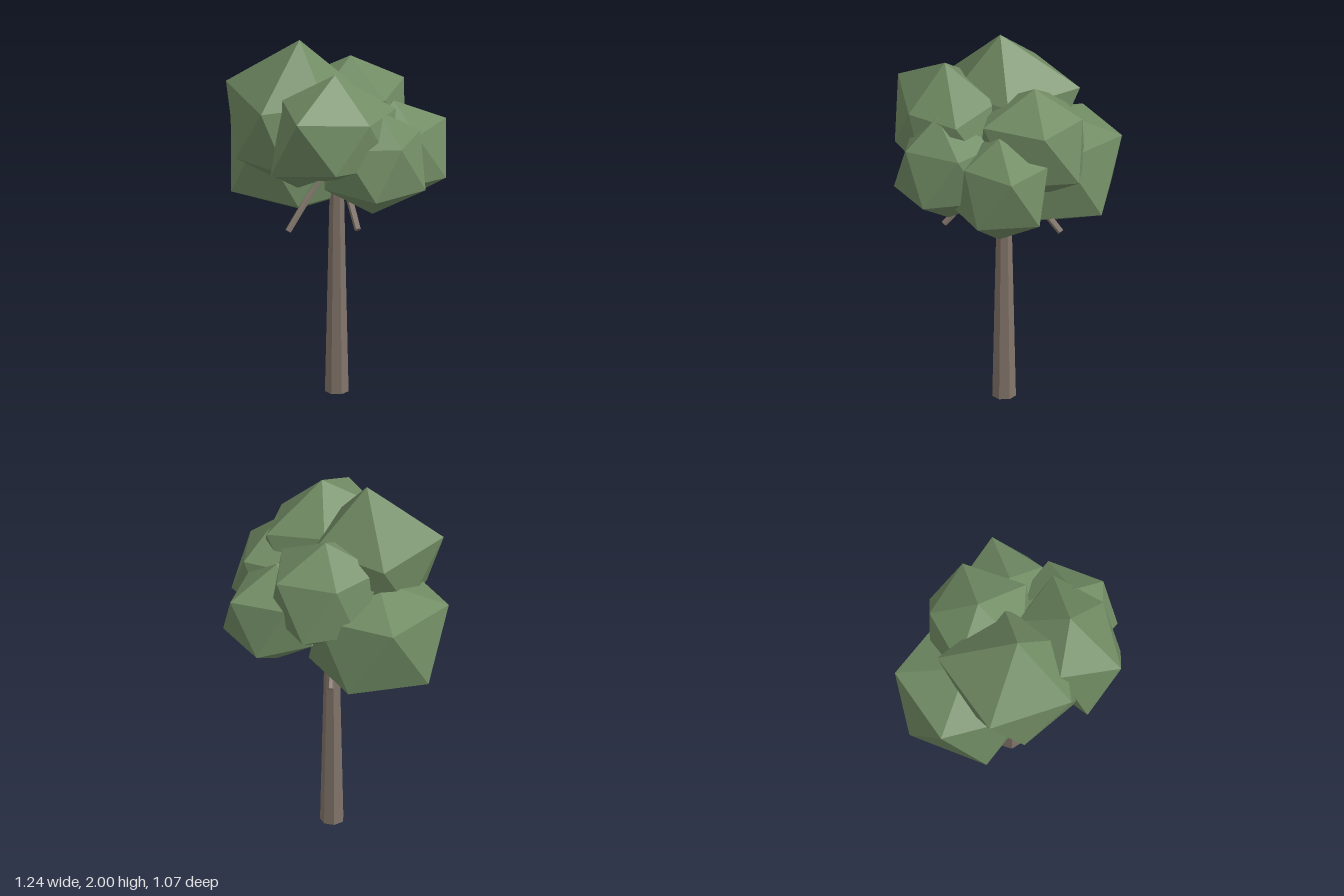
import * as THREE from 'three';
import { ConvexGeometry } from 'three/addons/geometries/ConvexGeometry.js';

const leafMat = new THREE.MeshStandardMaterial({ color: 0x718c64, flatShading: true });
const barkMat = new THREE.MeshStandardMaterial({ color: 0x82756a, flatShading: true });
const TOP = 10, BOTTOM = 11;

// Leaf clump: a stretched icosahedron standing on one corner. Corners 0-9 run round
// the sides, alternating upper and lower ring; shifts nudge single corners out of line.
function clump([x, y, z], [rx, ry, rz], top, bottom, shifts) {
  const points = [];
  for (let i = 0; i < 10; i++) {
    const a = THREE.MathUtils.degToRad(18 + i * 36);
    points.push(new THREE.Vector3(
      x + 0.894 * rx * Math.sin(a),
      y + 0.447 * ry * (i % 2 ? -1 : 1),
      z + 0.894 * rz * Math.cos(a)
    ));
  }
  points.push(new THREE.Vector3(x, top, z), new THREE.Vector3(x, bottom, z));
  for (const [i, shift] of Object.entries(shifts)) points[i].add(new THREE.Vector3(...shift));
  return new THREE.Mesh(new ConvexGeometry(points), leafMat);
}

// Tapered limb between two points
function limb(from, to, r0, r1, sides) {
  const a = new THREE.Vector3(...from), b = new THREE.Vector3(...to);
  const dir = b.clone().sub(a);
  const geometry = new THREE.CylinderGeometry(r1, r0, dir.length(), sides).rotateY(Math.PI);
  const mesh = new THREE.Mesh(geometry, barkMat);
  mesh.position.copy(a).add(b).multiplyScalar(0.5);
  mesh.quaternion.setFromUnitVectors(new THREE.Vector3(0, 1, 0), dir.normalize());
  return mesh;
}

export function createModel() {
  const model = new THREE.Group();
  const add = (name, mesh) => { mesh.name = name; model.add(mesh); };

  // Trunk
  add('trunk', limb([0.037, 0, -0.003], [0.037, 1.4, -0.003], 0.064, 0.033, 7));

  // Drooping branches
  const ends = [[0.345, 1.025, 0.09], [0.04, 0.975, 0.32], [-0.17, 1.005, -0.25]];
  ends.forEach((end, i) => add('branch' + (i + 1), limb([0.037, 1.36, 0], end, 0.02, 0.017, 6)));

  // Crown: centre, radii, top, bottom, corner shifts
  const crown = {
    frontClump: [[-0.05, 1.535, 0.21], [0.42, 0.39, 0.37], 2.0, 1.17, {
      0: [0.01, -0.02, 0], 1: [-0.07, 0, 0.03], 2: [-0.1, 0, 0], 6: [-0.03, 0.01, -0.08],
      7: [0.09, 0.02, -0.03], 8: [-0.02, 0.01, 0.015], 9: [-0.03, -0.01, -0.04],
      [TOP]: [0.01, 0, -0.025], [BOTTOM]: [0.04, 0, 0],
    }],
    frontLeftClump: [[0.285, 1.56, 0.195], [0.27, 0.33, 0.38], 1.905, 1.3, {
      0: [0.03, 0.02, 0.005], 1: [0.02, 0.02, -0.045], 2: [0, -0.03, -0.05], 3: [0.04, 0, 0],
      4: [0.03, -0.035, 0], 8: [0, 0.04, 0], 9: [-0.04, -0.04, 0.015],
    }],
    rightClump: [[-0.26, 1.275, 0.025], [0.4, 0.41, 0.42], 1.58, 0.94, {
      6: [-0.015, 0, 0], 8: [-0.015, 0, 0], 9: [0, -0.005, 0.005],
    }],
    leftClump: [[0.36, 1.405, 0.005], [0.29, 0.3, 0.3], 1.7, 1.1, {
      1: [0.035, 0, 0], 3: [0.035, 0, -0.01], [TOP]: [0.07, 0, 0],
    }],
    backLeftClump: [[0.2, 1.355, -0.255], [0.28, 0.3, 0.32], 1.63, 1.045, {
      2: [-0.045, 0, 0], 3: [0.02, 0, -0.01], 4: [0, 0, -0.013], 5: [-0.02, -0.01, 0],
    }],
    backClump: [[-0.06, 1.52, -0.165], [0.33, 0.32, 0.335], 1.825, 1.2, {
      2: [0.01, 0, 0], 5: [-0.015, 0, -0.015], 6: [0.03, 0, 0.03], 7: [0.025, 0, -0.05],
    }],
  };
  for (const [name, spec] of Object.entries(crown)) add(name, clump(...spec));

  return model;
}
